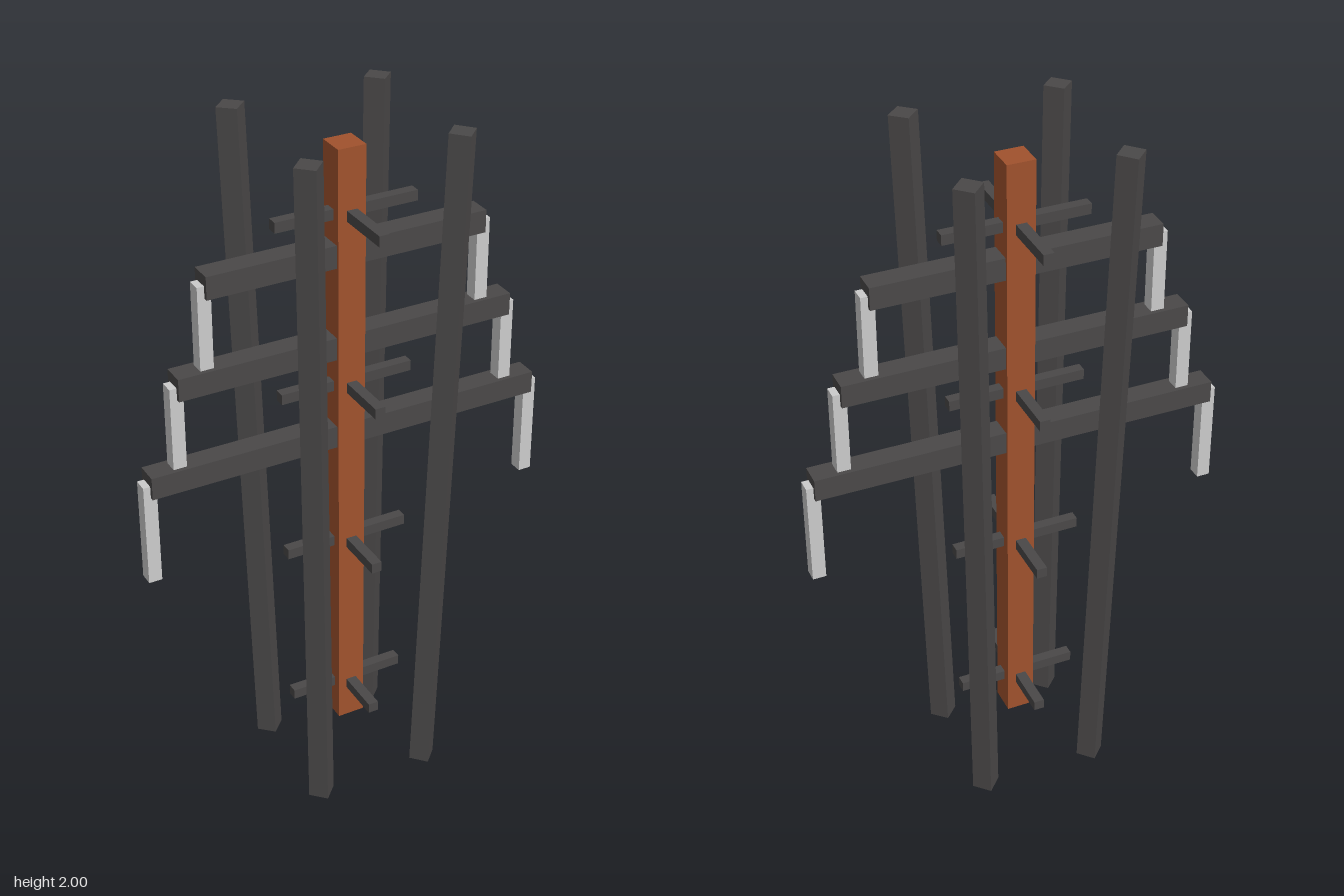
import * as THREE from 'three';

const dark = new THREE.MeshStandardMaterial({ color: 0x4a4848 });
const rust = new THREE.MeshStandardMaterial({ color: 0xa0522d });
const grey = new THREE.MeshStandardMaterial({ color: 0xcccccc });

function box(parent, name, material, size, position) {
  const mesh = new THREE.Mesh(new THREE.BoxGeometry(...size), material);
  mesh.name = name;
  mesh.position.set(...position);
  parent.add(mesh);
  return mesh;
}

export function createModel() {
  const model = new THREE.Group();
  model.name = 'pylon';

  // Offset of a leg's centre from the axis, along x and along z
  const legOffset = (y) => 0.168 + 0.022 * y;

  // Central mast
  box(model, 'mast', rust, [0.08, 1.8, 0.08], [0, 1.035, 0]);

  // Four square legs on the diagonals, leaning outwards towards the top
  const spread = (legOffset(2) - legOffset(0)) * Math.SQRT2;
  const lean = Math.atan2(spread, 2);
  for (let i = 0; i < 4; i++) {
    const corner = new THREE.Group();
    corner.name = 'legCorner';
    corner.rotation.y = Math.PI / 4 + (i * Math.PI) / 2;
    const leg = box(corner, 'leg', dark, [0.057, 1.999, 0.057], [legOffset(1) * Math.SQRT2, 1, 0]);
    leg.rotation.z = -lean;
    model.add(corner);
  }

  // Crossed braces through the mast
  for (const y of [0.25, 0.75, 1.25, 1.75]) {
    const length = 2 * legOffset(y);
    box(model, 'sideBrace', dark, [length, 0.03, 0.03], [0, y, 0]);
    box(model, 'depthBrace', dark, [0.03, 0.03, length], [0, y, 0]);
  }

  // Crossarms with a hanging insulator at each end
  for (const [y, half] of [[1.1, 0.583], [1.37, 0.495], [1.638, 0.407]]) {
    box(model, 'crossarm', dark, [half * 2, 0.065, 0.065], [0, y, 0]);
    for (const side of [-1, 1]) {
      box(model, 'insulator', grey, [0.038, 0.3, 0.04], [side * (half + 0.001), y - 0.148, 0]);
    }
  }
  return model;
}
